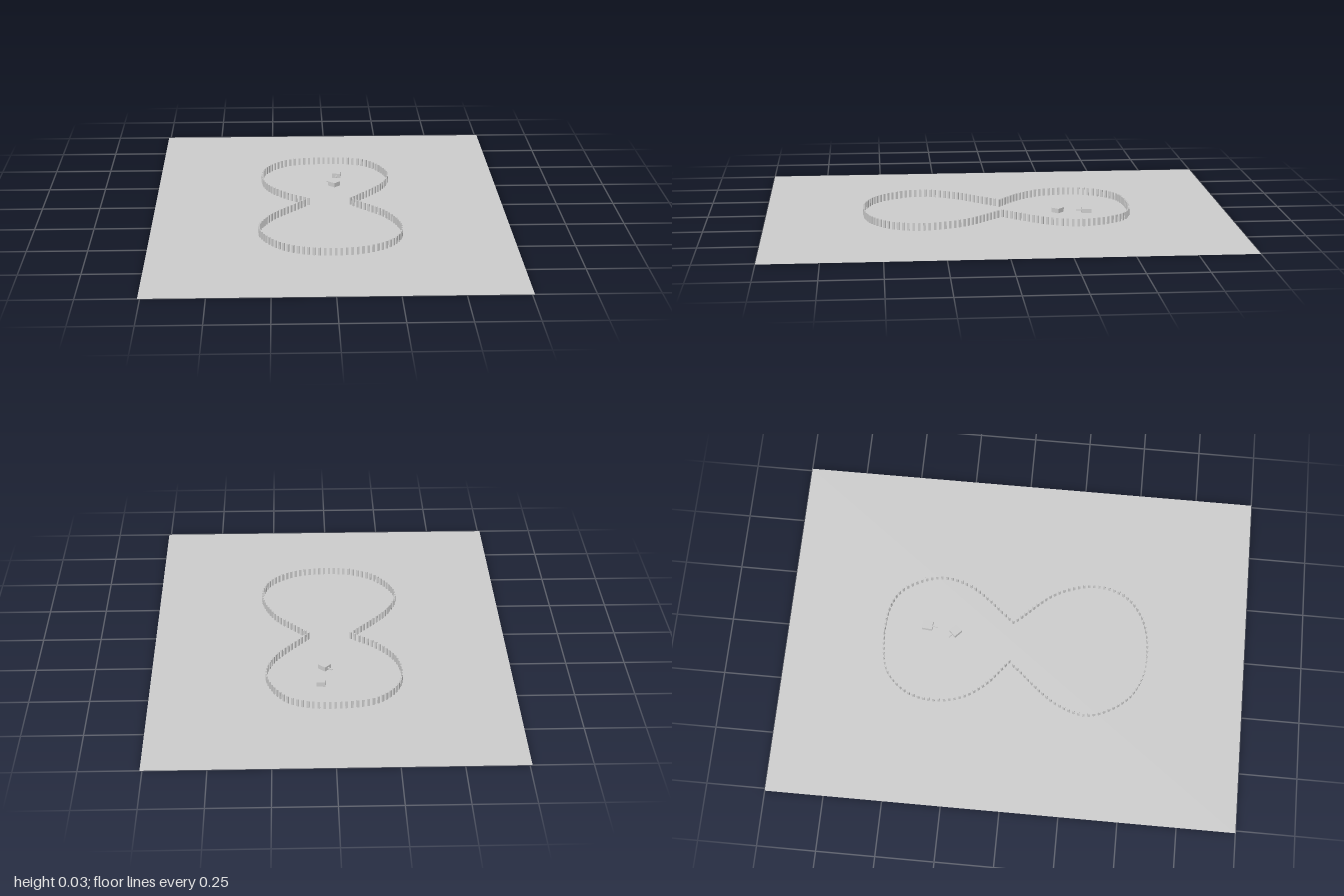
import * as THREE from 'three';

const grey = () => new THREE.MeshStandardMaterial({ color: 0xcccccc, flatShading: true });

function box(name, w, h, d, x, y, z, material) {
  const mesh = new THREE.Mesh(new THREE.BoxGeometry(w, h, d), material);
  mesh.name = name;
  mesh.position.set(x, y, z);
  return mesh;
}

// Evenly spaced posts along a smooth open curve, each turned to follow it
function fence(name, points, count, material) {
  const group = new THREE.Group();
  group.name = name;
  const curve = new THREE.CatmullRomCurve3(points.map(([x, z]) => new THREE.Vector3(x, 0, z)));
  for (let i = 0; i < count; i++) {
    const u = i / (count - 1);
    const p = curve.getPointAt(u);
    const t = curve.getTangentAt(u);
    const post = box('post', 0.006, 0.033, 0.01, p.x, 0.0165, p.z, material);
    post.rotation.y = Math.atan2(t.x, t.z);
    group.add(post);
  }
  return group;
}

// Small block with a narrow bar sticking out of its local +z end
function vehicle(name, x, z, angle, length, material) {
  const group = new THREE.Group();
  group.name = name;
  group.add(box('body', 0.038, 0.02, length, 0, 0.012, 0, material));
  group.add(box('bar', 0.005, 0.005, 0.024, 0, 0.012, length / 2 + 0.012, material));
  group.position.set(x, 0, z);
  group.rotation.y = angle;
  return group;
}

export function createModel() {
  const model = new THREE.Group();
  const material = grey();

  // Thin ground sheet
  const sheetMaterial = grey();
  sheetMaterial.side = THREE.DoubleSide;
  const sheet = new THREE.Mesh(new THREE.PlaneGeometry(1.52, 2).rotateX(-Math.PI / 2), sheetMaterial);
  sheet.name = 'groundSheet';
  model.add(sheet);

  // Two loops of posts meeting at the open waist
  model.add(fence('backFence', [
    [-0.09, -0.02], [-0.2, -0.11], [-0.27, -0.21], [-0.295, -0.34], [-0.27, -0.45],
    [-0.19, -0.54], [-0.1, -0.57], [0.1, -0.57], [0.2, -0.52], [0.275, -0.36],
    [0.245, -0.22], [0.095, -0.02],
  ], 72, material));
  model.add(fence('frontFence', [
    [0.107, 0], [0.245, 0.16], [0.297, 0.33], [0.265, 0.455], [0.19, 0.53],
    [0.085, 0.57], [-0.085, 0.57], [-0.215, 0.505], [-0.302, 0.345], [-0.265, 0.2],
    [-0.107, 0],
  ], 74, material));

  // Two small vehicles inside the back loop
  model.add(vehicle('backVehicle', 0.046, -0.392, -0.08, 0.044, material));
  model.add(vehicle('frontVehicle', 0.03, -0.267, -Math.PI * 0.74, 0.04, material));

  return model;
}
